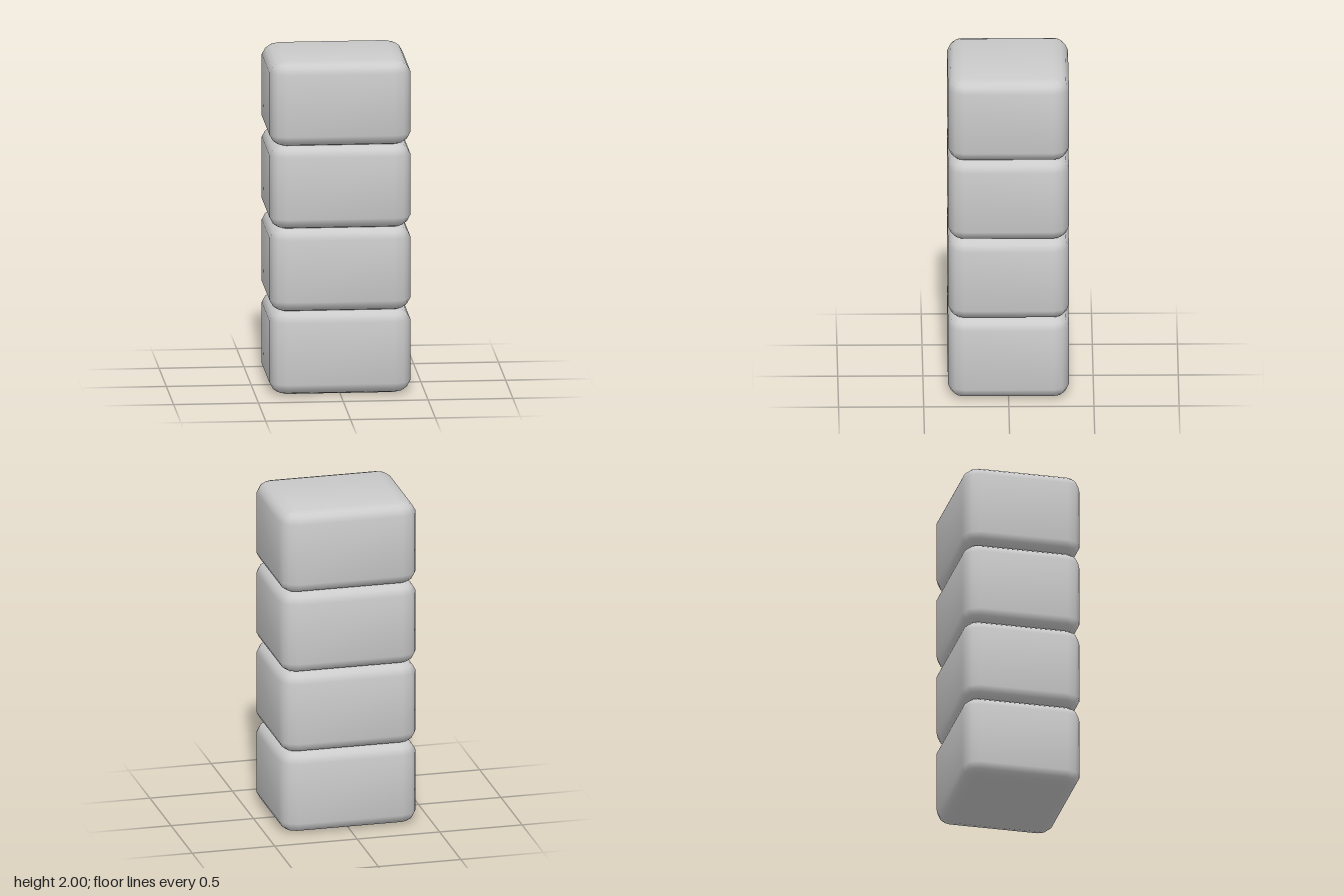
import * as THREE from 'three';
import { mergeVertices } from 'three/addons/utils/BufferGeometryUtils.js';
import { ConvexGeometry } from 'three/addons/geometries/ConvexGeometry.js';

const HALF = new THREE.Vector3(0.415, 0.255, 0.355); // half size of one block
const ROUND = new THREE.Vector3(0.1, 0.07, 0.09);    // rounding along each axis
const STEP = 0.49667;                                // height between blocks

// Quarter bend with three facets, as [outward, sideways]
const BEND = [[1, 0], [0.8, 0.53], [0.55, 0.78], [0, 1]];

// Block with softly faceted edges: the hull of eight rounded corners
function blockGeometry() {
  const core = HALF.clone().sub(ROUND);
  const points = [];
  for (const sx of [-1, 1]) for (const sy of [-1, 1]) for (const sz of [-1, 1]) {
    for (const [flat, up] of BEND) for (const [ax, az] of BEND) {
      points.push(new THREE.Vector3(
        sx * (core.x + ROUND.x * flat * ax),
        sy * (core.y + ROUND.y * up),
        sz * (core.z + ROUND.z * flat * az)));
    }
  }
  const hull = new ConvexGeometry(points);
  hull.deleteAttribute('normal');
  const geometry = mergeVertices(hull, 1e-4);
  geometry.computeVertexNormals();

  // Lean the normals outward for a pillowy shading
  const position = geometry.attributes.position;
  const normal = geometry.attributes.normal;
  const p = new THREE.Vector3();
  const n = new THREE.Vector3();
  for (let i = 0; i < position.count; i++) {
    p.fromBufferAttribute(position, i).divide(HALF);
    n.fromBufferAttribute(normal, i).addScaledVector(p, 0.15).normalize();
    normal.setXYZ(i, n.x, n.y, n.z);
  }
  return geometry;
}

export function createModel() {
  const model = new THREE.Group();
  model.name = 'blockStack';
  const geometry = blockGeometry();
  const material = new THREE.MeshStandardMaterial({ color: 0xcccccc });

  // Four equal blocks, one on top of the other
  for (let i = 0; i < 4; i++) {
    const block = new THREE.Mesh(geometry, material);
    block.name = `block${i + 1}`;
    block.position.y = HALF.y + i * STEP;
    model.add(block);
  }
  return model;
}
